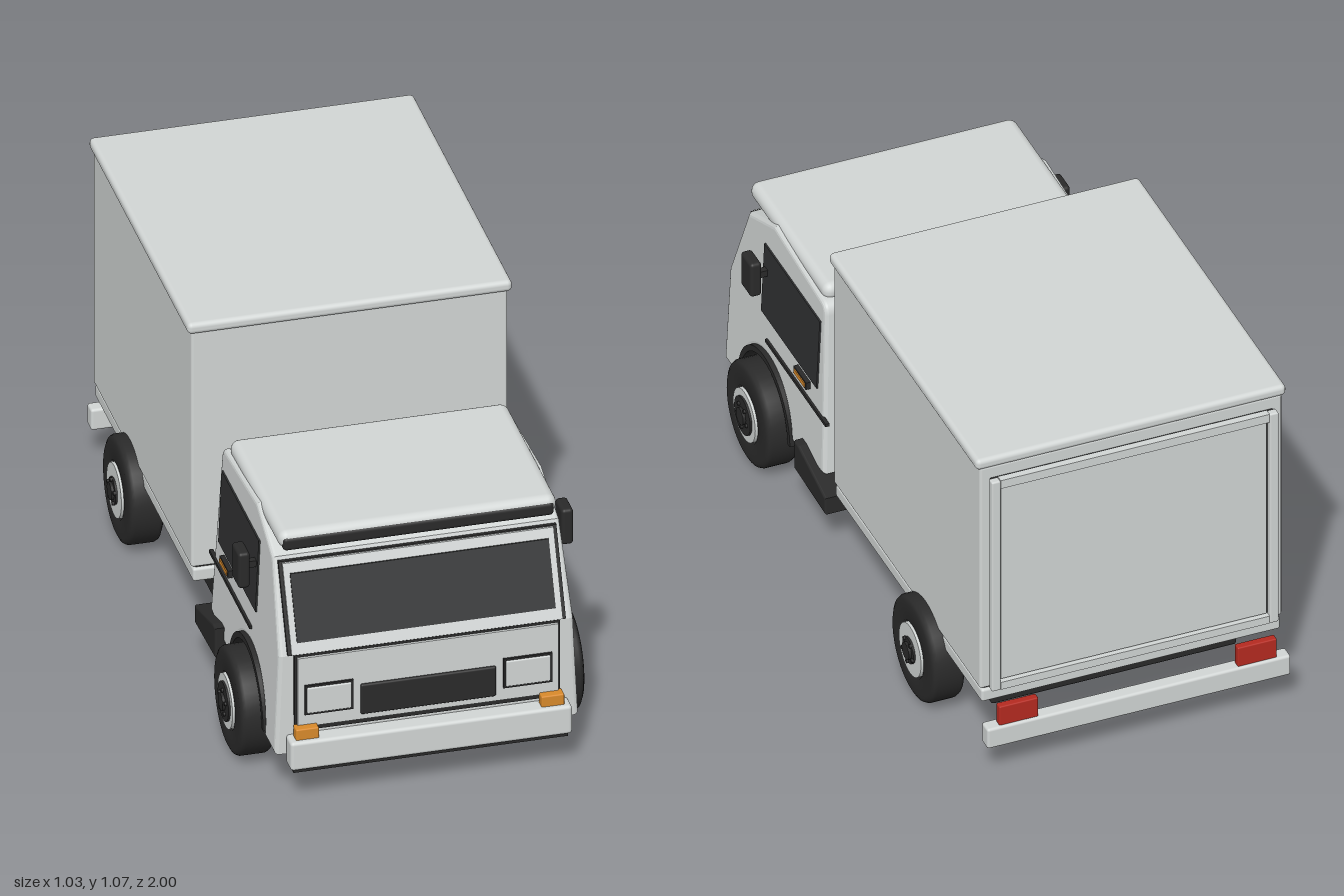
import * as THREE from 'three';
import { RoundedBoxGeometry } from 'three/addons/geometries/RoundedBoxGeometry.js';

const material = (name, color) => {
  const m = new THREE.MeshStandardMaterial({ color });
  m.name = name;
  return m;
};

export function createModel() {
  const truck = new THREE.Group();
  truck.name = 'boxTruck';
  const body = material('bodyLightGrey', 0xd2d6d5);
  const black = material('blackTrim', 0x2a2a2a);
  const glass = material('darkGlass', 0x303132);
  const orange = material('indicatorOrange', 0xd98a2b);
  const red = material('tailLightRed', 0xb52a20);

  const add = (name, geometry, mat, parent = truck) => {
    const mesh = new THREE.Mesh(geometry, mat);
    mesh.name = name;
    parent.add(mesh);
    return mesh;
  };
  // Box given by its limits on each axis, with rounded edges when r > 0
  const block = (name, mat, [x0, x1], [y0, y1], [z0, z1], r = 0) => {
    const size = [x1 - x0, y1 - y0, z1 - z0];
    const g = r ? new RoundedBoxGeometry(...size, 3, r) : new THREE.BoxGeometry(...size);
    g.translate((x0 + x1) / 2, (y0 + y1) / 2, (z0 + z1) / 2);
    return add(name, g, mat);
  };
  // Side profile in (z, y), extruded across x
  const prism = (shape, x0, x1, bevel = 0) => {
    const g = new THREE.ExtrudeGeometry(shape, {
      depth: x1 - x0 - 2 * bevel, bevelEnabled: bevel > 0, bevelSize: bevel,
      bevelThickness: bevel, bevelOffset: -bevel, bevelSegments: 3, curveSegments: 24,
    });
    return g.rotateY(-Math.PI / 2).translate(x1 - bevel, 0, 0);
  };
  const polygon = (pts) => new THREE.Shape(pts.map((p) => new THREE.Vector2(...p)));
  // The cab leans inwards as it rises
  const taper = (g) => {
    const p = g.attributes.position;
    for (let i = 0; i < p.count; i++) p.setX(i, p.getX(i) * (1 - 0.1 * (p.getY(i) - 0.2)));
    g.computeVertexNormals();
    return g;
  };
  const span = (s, a, b) => (s > 0 ? [a, b] : [-b, -a]);

  const FRONT = 0.65, REAR = -0.545, R = 0.157;

  // Chassis
  block('chassis', black, [-0.37, 0.37], [0.115, 0.205], [-0.82, 0.78], 0.01);
  block('subframe', black, [-0.36, 0.36], [0.2, 0.245], [-0.8, 0.1]);

  // Cargo box
  block('cargoBox', body, [-0.455, 0.455], [0.275, 1.035], [-0.94, 0.115], 0.008);
  block('cargoRoof', body, [-0.467, 0.467], [1.03, 1.065], [-0.945, 0.125], 0.014);
  block('cargoSkirt', body, [-0.45, 0.45], [0.228, 0.27], [-0.94, 0.115], 0.008);
  block('cargoFloorGap', black, [-0.44, 0.44], [0.265, 0.28], [-0.93, 0.105]);

  // Rear door: dark seal, panel and frame
  block('doorSeal', black, [-0.425, 0.425], [0.29, 0.995], [-0.952, -0.938]);
  block('doorPanel', body, [-0.4, 0.4], [0.31, 0.965], [-0.96, -0.95]);
  for (const s of [1, -1]) {
    block('doorFrameSide', body, span(s, 0.405, 0.432), [0.28, 1.0], [-0.972, -0.948], 0.005);
  }
  block('doorFrameTop', body, [-0.405, 0.405], [0.972, 1.0], [-0.97, -0.948]);
  block('doorFrameBottom', body, [-0.405, 0.405], [0.28, 0.305], [-0.97, -0.948]);

  // Cab shell with the wheel arch cut out of its profile
  const cab = new THREE.Shape();
  cab.moveTo(0.24, 0.21);
  cab.lineTo(0.278, 0.72);
  cab.quadraticCurveTo(0.28, 0.755, 0.31, 0.758);
  cab.lineTo(0.65, 0.783);
  cab.lineTo(0.83, 0.71);
  cab.lineTo(0.94, 0.45);
  cab.lineTo(0.945, 0.14);
  cab.lineTo(0.834, 0.14);
  cab.absarc(FRONT, R, 0.183, -0.09, Math.PI - 0.1, false);
  cab.closePath();
  const shell = prism(cab, -0.435, 0.435, 0.012).toNonIndexed?.() ?? prism(cab, -0.435, 0.435, 0.012);
  add('cabShell', taper(shell), body);
  block('cabFloor', black, [-0.34, 0.34], [0.2, 0.36], [0.45, 0.85]);

  // Roof cap with dark visor strip
  block('roofCap', body, [-0.4, 0.4], [0.742, 0.797], [0.31, 0.86], 0.026);
  block('visorStrip', black, [-0.39, 0.39], [0.74, 0.782], [0.8, 0.863], 0.012);

  // Windscreen layers follow the slope of the cab front
  const slope = (y) => 0.942 - 0.424 * (y - 0.45);
  const sloped = (name, mat, hw, y0, y1, o0, o1) => add(name, prism(polygon([
    [slope(y0) + o0, y0], [slope(y0) + o1, y0], [slope(y1) + o1, y1], [slope(y1) + o0, y1],
  ]), -hw, hw), mat);
  sloped('windscreenSeal', black, 0.4, 0.455, 0.7, -0.01, 0.008);
  sloped('windscreenFrame', body, 0.39, 0.458, 0.697, 0.006, 0.014);
  sloped('windscreen', glass, 0.372, 0.49, 0.67, 0.012, 0.018);

  // Front panel, grille and bumper
  block('frontPanelSeal', black, [-0.382, 0.382], [0.212, 0.457], [0.935, 0.952]);
  block('frontPanel', body, [-0.375, 0.375], [0.228, 0.449], [0.94, 0.96]);
  block('grille', black, [-0.195, 0.195], [0.246, 0.342], [0.95, 0.968], 0.006);
  block('frontBumper', body, [-0.405, 0.405], [0.112, 0.202], [0.94, 1.0], 0.01);
  block('bumperLip', black, [-0.395, 0.395], [0.102, 0.115], [0.945, 0.99]);

  // Rear bumper
  block('rearBumper', body, [-0.457, 0.457], [0.108, 0.175], [-1.0, -0.955], 0.008);

  // Wheel arch trim profile
  const arch = new THREE.Shape();
  arch.absarc(FRONT, R, 0.188, 0.0, Math.PI, false);
  arch.absarc(FRONT, R, 0.17, Math.PI, 0.0, true);
  arch.closePath();

  // Tyre cross-section around the axle
  const tyreProfile = [[0.07, -0.05], [0.14, -0.05], [0.152, -0.044], [R, -0.034],
    [R, 0.034], [0.152, 0.044], [0.14, 0.05], [0.085, 0.05], [0.078, 0.035]]
    .map((p) => new THREE.Vector2(...p));

  for (const s of [1, -1]) {
    // Wheels
    for (const [z, hubRadius] of [[FRONT, 0.058], [REAR, 0.04]]) {
      const wheel = new THREE.Group();
      wheel.name = z > 0 ? 'frontWheel' : 'rearWheel';
      wheel.position.set(s * 0.445, R, z);
      wheel.rotation.z = -s * Math.PI / 2;
      truck.add(wheel);
      add('tyre', new THREE.LatheGeometry(tyreProfile, 40), black, wheel);
      const disc = (name, r, y0, y1, mat) => add(name,
        new THREE.CylinderGeometry(r, r, y1 - y0, 32).translate(0, (y0 + y1) / 2, 0), mat, wheel);
      disc('innerDisc', 0.08, -0.051, -0.03, black);
      disc('rim', 0.08, -0.02, 0.056, body);
      disc('hub', hubRadius, 0.05, 0.062, black);
      disc('hubCap', 0.026, 0.06, 0.07, black);
      for (let i = 0; i < 5; i++) {
        const a = i * Math.PI * 0.4;
        add('wheelNut', new THREE.CylinderGeometry(0.006, 0.006, 0.008, 8)
          .translate(Math.cos(a) * 0.036, 0.064, Math.sin(a) * 0.036), black, wheel);
      }
    }

    // Arch trim and step behind the front wheel
    add('archTrim', prism(arch, ...span(s, 0.4, 0.442)), black);
    add('step', prism(polygon([[0.39, 0.14], [0.39, 0.235], [0.36, 0.235], [0.165, 0.185],
      [0.165, 0.13]]), ...span(s, 0.36, 0.46), 0.006), black);

    // Cab side details
    const side = (name, mat, y, z, x0, x1, r) => taper(block(name, mat, span(s, x0, x1), y, z, r).geometry);
    side('sideWindow', glass, [0.463, 0.69], [0.303, 0.703], 0.432, 0.44);
    side('sideTrim', black, [0.384, 0.394], [0.225, 0.66], 0.43, 0.442);
    side('doorHandle', black, [0.426, 0.449], [0.355, 0.445], 0.43, 0.449);
    side('handleInsert', orange, [0.431, 0.444], [0.362, 0.438], 0.445, 0.452);
    block('mirrorArm', black, span(s, 0.4, 0.46), [0.6, 0.62], [0.67, 0.69]);
    block('mirror', black, span(s, 0.448, 0.482), [0.555, 0.668], [0.648, 0.724], 0.01);

    // Lamps
    block('headlightFrame', black, span(s, 0.216, 0.356), [0.268, 0.362], [0.95, 0.966]);
    block('headlight', body, span(s, 0.222, 0.35), [0.274, 0.356], [0.96, 0.971], 0.004);
    block('indicator', orange, span(s, 0.32, 0.386), [0.198, 0.235], [0.95, 0.985], 0.004);
    block('tailLight', red, span(s, 0.3, 0.418), [0.173, 0.238], [-0.992, -0.968], 0.004);
  }
  return truck;
}
